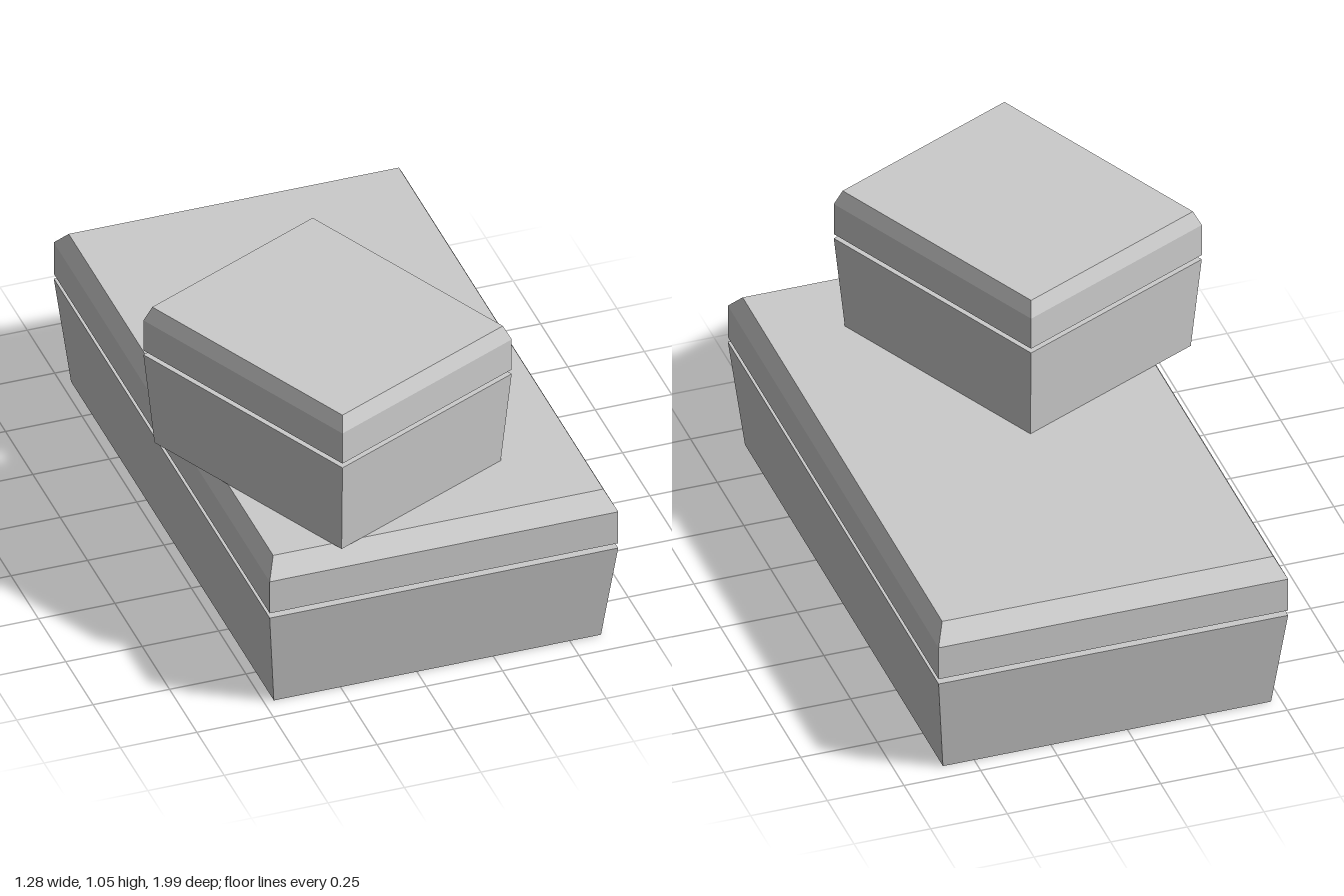
import * as THREE from 'three';

const material = new THREE.MeshStandardMaterial({ color: 0xcccccc, flatShading: true });

// Closed stack of rectangular sections, each [y, width, depth], from bottom to top
function loft(name, sections) {
  const corners = [[-1, 1], [1, 1], [1, -1], [-1, -1]];
  const rings = sections.map(([y, w, d]) => corners.map(([x, z]) => [x * w / 2, y, z * d / 2]));
  const pos = [];
  const quad = (a, b, c, d) => pos.push(...a, ...b, ...c, ...a, ...c, ...d);
  for (let i = 0; i + 1 < rings.length; i++) {
    const lo = rings[i], hi = rings[i + 1];
    for (let k = 0; k < 4; k++) {
      const n = (k + 1) % 4;
      quad(lo[k], lo[n], hi[n], hi[k]);
    }
  }
  quad(...rings[rings.length - 1]);
  quad(...[...rings[0]].reverse());
  const geometry = new THREE.BufferGeometry();
  geometry.setAttribute('position', new THREE.Float32BufferAttribute(pos, 3));
  geometry.computeVertexNormals();
  const mesh = new THREE.Mesh(geometry, material);
  mesh.name = name;
  return mesh;
}

// Tapered box, recessed seam and bevelled lid
function createCase({ name, width, depth, base, inner, heights }) {
  const [body, seam, rim, top] = heights;
  const group = new THREE.Group();
  group.name = name;
  group.add(
    loft('body', [[0, ...base], [body, width, depth]]),
    loft('seam', [[body, ...inner], [seam, ...inner]]),
    loft('lid', [[seam, width, depth], [rim, width, depth], [top, ...inner]])
  );
  return group;
}

export function createModel() {
  const model = new THREE.Group();
  model.name = 'stackedCases';

  const large = createCase({
    name: 'largeCase', width: 1.14, depth: 1.975,
    base: [1.07, 1.855], inner: [1.08, 1.87],
    heights: [0.353, 0.371, 0.488, 0.546]
  });
  large.position.set(0.067, 0, -0.012);

  // Smaller case turned on top, overhanging one side
  const small = createCase({
    name: 'smallCase', width: 0.733, depth: 0.872,
    base: [0.689, 0.82], inner: [0.695, 0.833],
    heights: [0.325, 0.341, 0.453, 0.503]
  });
  small.position.set(-0.124, 0.547, 0.445);
  small.rotation.y = THREE.MathUtils.degToRad(25);

  model.add(large, small);
  return model;
}
